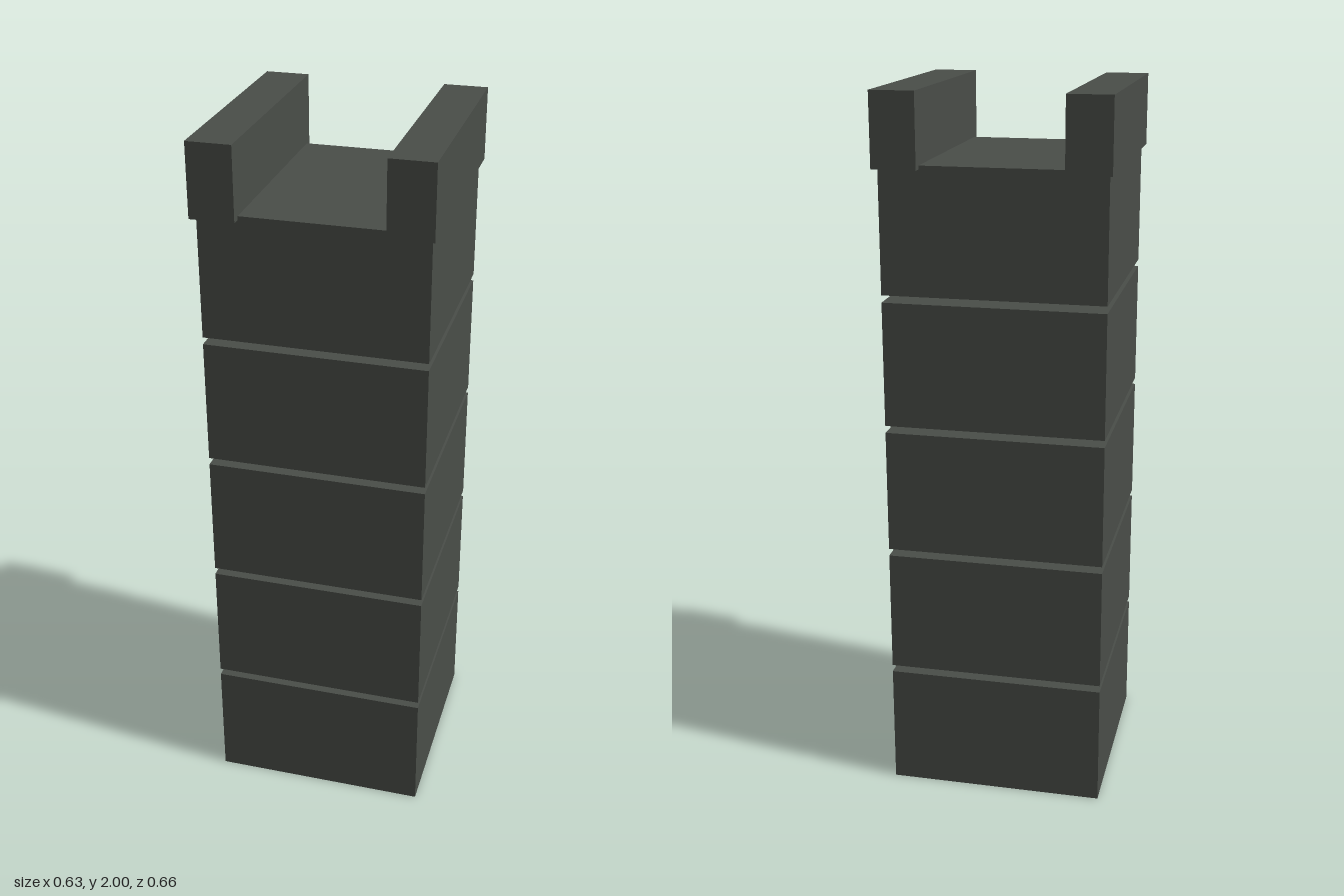
import * as THREE from 'three';

export function createModel() {
  const model = new THREE.Group();
  model.name = 'blockTower';

  const stone = new THREE.MeshStandardMaterial({ color: 0x4a4e49 });
  stone.name = 'dark grey stone';

  function addBox(name, width, height, depth, x, bottom) {
    const mesh = new THREE.Mesh(new THREE.BoxGeometry(width, height, depth), stone);
    mesh.name = name;
    mesh.position.set(x, bottom + height / 2, 0);
    model.add(mesh);
  }

  // Five stacked blocks separated by narrow open gaps
  const blockHeight = 0.346;
  const pitch = 0.366;
  for (let i = 0; i < 5; i++) {
    addBox(`block${i + 1}`, 0.608, blockHeight, 0.608, 0, i * pitch);
  }

  // Two parapet rails along the sides, overhanging the top block
  for (const [name, side] of [['leftRail', 1], ['rightRail', -1]]) {
    addBox(name, 0.121, 0.2, 0.66, side * 0.254, 1.8);
  }

  return model;
}
